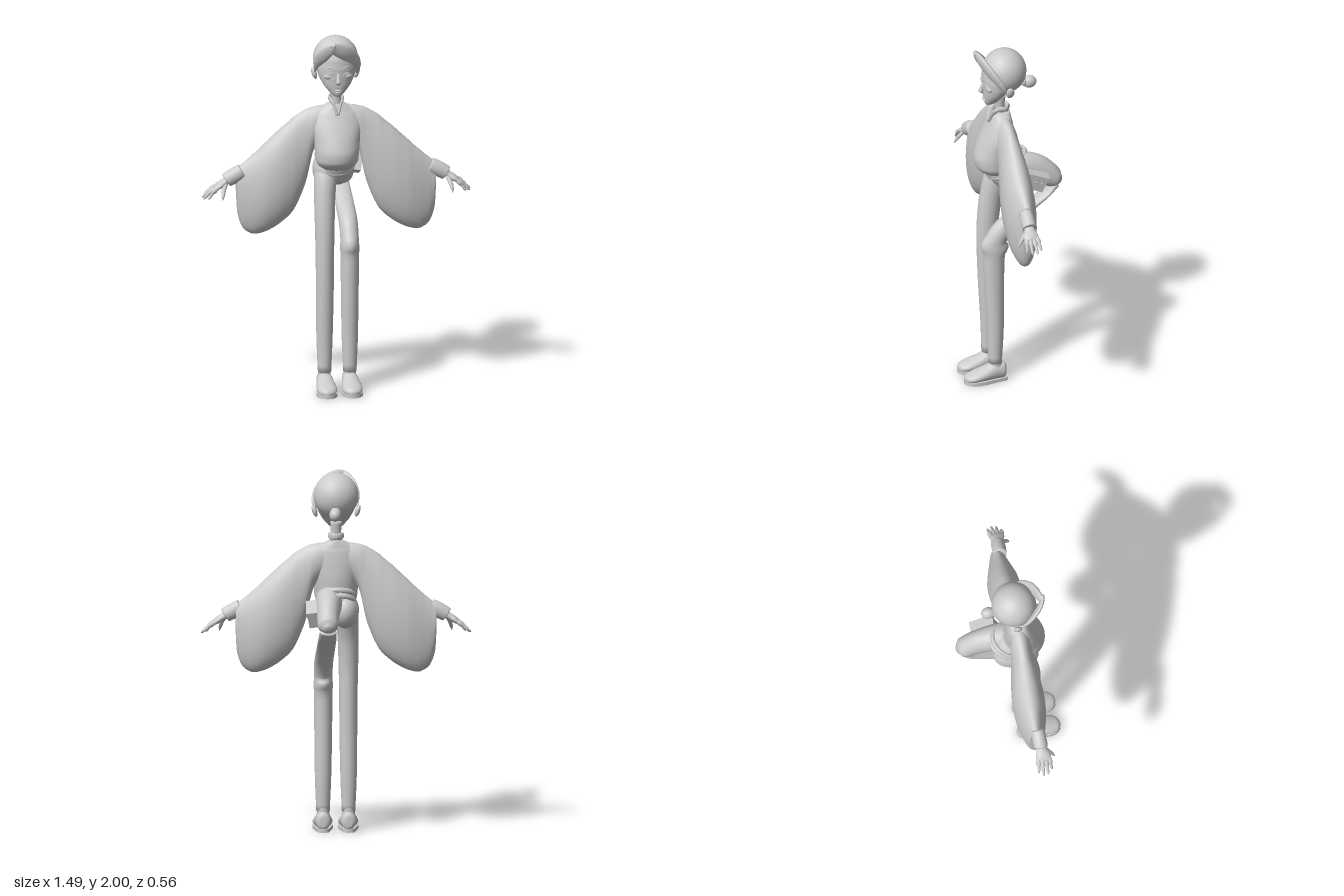
import * as THREE from 'three';

const clay = new THREE.MeshStandardMaterial({ color: 0xcccccc });
clay.name = 'light grey clay';

const X = new THREE.Vector3(1, 0, 0), Y = new THREE.Vector3(0, 1, 0), Z = new THREE.Vector3(0, 0, 1);

// Smooth closed loft through elliptical sections [x, y, z, a, b]; a lies along u, b along v.
// Without v the sections turn with the path.
function sweep(sections, u, v = null, steps = 5, sides = 24) {
  const path = new THREE.CatmullRomCurve3(sections.map(s => new THREE.Vector3(s[0], s[1], s[2])));
  const size = new THREE.CatmullRomCurve3(sections.map(s => new THREE.Vector3(s[3], s[4], 0)));
  const rows = (sections.length - 1) * steps, pos = [], idx = [];
  for (let i = 0; i <= rows; i++) {
    const t = i / rows, c = path.getPoint(t), r = size.getPoint(t);
    let a = u, b = v;
    if (!v) {
      const tan = path.getTangent(t);
      a = u.clone().addScaledVector(tan, -u.dot(tan)).normalize();
      b = tan.clone().cross(a);
    }
    for (let k = 0; k < sides; k++) {
      const w = k / sides * Math.PI * 2;
      const p = c.clone().addScaledVector(a, r.x * Math.cos(w)).addScaledVector(b, r.y * Math.sin(w));
      pos.push(p.x, p.y, p.z);
      if (i < rows) {
        const p0 = i * sides + k, p1 = i * sides + (k + 1) % sides;
        idx.push(p0, p1, p1 + sides, p0, p1 + sides, p0 + sides);
      }
    }
  }
  // end caps
  const n = pos.length / 3, last = rows * sides;
  pos.push(...path.getPoint(0).toArray(), ...path.getPoint(1).toArray());
  for (let k = 0; k < sides; k++) {
    const k1 = (k + 1) % sides;
    idx.push(n, k1, k, n + 1, last + k, last + k1);
  }
  // turn the faces outward if the enclosed volume is negative
  const P = i => new THREE.Vector3(pos[i * 3], pos[i * 3 + 1], pos[i * 3 + 2]);
  const origin = P(n);
  let volume = 0;
  for (let i = 0; i < idx.length; i += 3) {
    const [p, q, r] = [P(idx[i]).sub(origin), P(idx[i + 1]).sub(origin), P(idx[i + 2]).sub(origin)];
    volume += p.dot(q.cross(r));
  }
  if (volume < 0) idx.reverse();
  const g = new THREE.BufferGeometry();
  g.setAttribute('position', new THREE.Float32BufferAttribute(pos, 3));
  g.setIndex(idx);
  g.computeVertexNormals();
  return g;
}

export function createModel() {
  const model = new THREE.Group();
  model.name = 'standingFigure';
  const add = (name, geometry, x = 0, y = 0, z = 0, parent = model) => {
    const m = new THREE.Mesh(geometry, clay);
    m.name = name;
    m.position.set(x, y, z);
    parent.add(m);
    return m;
  };
  const ball = (name, x, y, z, rx, ry, rz) =>
    add(name, new THREE.SphereGeometry(1, 28, 20).scale(rx, ry, rz), x, y, z);
  // level sections given as [y, half width, front z, back z]
  const stack = (name, list) => add(name,
    sweep(list.map(([y, h, f, b]) => [0, y, (f + b) / 2, h, (f - b) / 2]), X, Z, 5, 36));

  // Jacket body, collar and neck
  stack('jacketBody', [[1.625, .042, .092, -.002], [1.605, .08, .1, -.005], [1.57, .125, .115, -.012],
    [1.5, .14, .148, -.02], [1.42, .128, .182, -.025], [1.36, .122, .2, -.022], [1.31, .117, .195, -.015],
    [1.28, .1, .172, 0], [1.26, .07, .14, .02]]);
  stack('neck', [[1.56, .03, .085, .02], [1.65, .028, .08, .028], [1.73, .032, .09, .02]]);
  for (const s of [1, -1]) {
    add('collar', sweep([[s * .003, 1.57, .118, .007, .012], [s * .018, 1.62, .1, .007, .014],
      [s * .034, 1.65, .07, .007, .014], [s * .034, 1.65, .025, .007, .016], [0, 1.648, .003, .007, .016]],
      X, null, 5, 12));
  }

  // Head and face
  stack('face', [[1.68, .016, .135, .1], [1.695, .036, .142, .07], [1.74, .074, .148, .03],
    [1.79, .1, .152, -.02], [1.84, .112, .154, -.05], [1.89, .112, .15, -.06], [1.95, .08, .11, -.03]]);
  add('nose', sweep([[0, 1.815, .148, .008, .008], [0, 1.785, .157, .011, .012],
    [0, 1.765, .164, .014, .012], [0, 1.752, .152, .008, .006]], X, Z, 4, 14));
  ball('upperLip', 0, 1.716, .143, .02, .006, .009);
  ball('lowerLip', 0, 1.706, .141, .016, .006, .009);
  for (const s of [1, -1]) {
    ball('eye', s * .048, 1.797, .126, .031, .021, .019);
    add('eyelid', sweep([[s * .018, 1.8, .146, .003, .004], [s * .048, 1.817, .146, .004, .006],
      [s * .08, 1.802, .122, .003, .004]], Y, null, 5, 8));
    add('eyebrow', sweep([[s * .02, 1.838, .152, .003, .003], [s * .05, 1.85, .141, .005, .004],
      [s * .085, 1.84, .11, .002, .003]], Y, null, 5, 8));
    const ear = ball('ear', s * .118, 1.79, .028, .014, .034, .024);
    ear.rotation.z = -s * .3;
  }

  // Hair: cap, bun, two swept fringe locks and sideburns
  ball('hairCap', 0, 1.874, .028, .124, .126, .122);
  ball('bun', .008, 1.788, -.113, .032, .036, .04);
  add('bunTie', new THREE.TorusGeometry(.02, .01, 10, 20), .006, 1.795, -.08);
  add('leftFringe', sweep([[-.05, 1.985, .186, .008, .008], [-.02, 1.965, .172, .035, .014],
    [.035, 1.935, .15, .043, .018], [.085, 1.885, .112, .04, .018], [.112, 1.835, .075, .026, .014],
    [.117, 1.785, .045, .004, .004]], new THREE.Vector3(.6, .8, 0)));
  add('rightFringe', sweep([[-.02, 1.99, .188, .008, .008], [-.05, 1.96, .175, .03, .012],
    [-.085, 1.915, .14, .034, .014], [-.11, 1.865, .095, .024, .012], [-.117, 1.805, .05, .004, .004]],
    new THREE.Vector3(-.6, .8, 0)));

  // Wide hanging sleeves, cuffs and hands: sleeve rows are [x, top y, bottom y, half depth]
  const sleeve = [[.05, 1.615, 1.45, .05], [.12, 1.605, 1.37, .058], [.17, 1.59, 1.17, .066],
    [.24, 1.545, 1.015, .08], [.31, 1.485, .95, .089], [.39, 1.41, .905, .087], [.46, 1.345, .893, .07],
    [.515, 1.298, .93, .052], [.542, 1.275, 1.0, .042], [.55, 1.262, 1.1, .036]];
  for (const s of [1, -1]) {
    add('sleeve', sweep(sleeve.map(([x, t, b, d]) => [s * x, (t + b) / 2, .045, (t - b) / 2, d]), Y, Z, 5, 36));
    add('cuff', sweep([[s * .52, 1.255, .057, .042, .036], [s * .56, 1.234, .058, .044, .039],
      [s * .607, 1.208, .06, .04, .038], [s * .61, 1.206, .06, .025, .028]], Y));
    add('palm', sweep([[s * .585, 1.22, .06, .022, .026], [s * .62, 1.198, .062, .02, .03],
      [s * .652, 1.178, .064, .018, .042], [s * .675, 1.162, .064, .012, .04]], Y));
    const tips = [[.026, .728, 1.123], [.05, .742, 1.112], [.076, .738, 1.108], [.1, .715, 1.112]];
    tips.forEach(([z, x, y], i) => {
      const z0 = .034 + i * .02;
      add('finger', sweep([[s * .655, 1.177, z0, .009, .009], [s * (.665 + x) / 2, (1.178 + y) / 2, (z0 + z) / 2, .009, .009],
        [s * (x - .008), y + .006, z, .007, .007], [s * x, y, z, .002, .002]], Y, null, 4, 10));
    });
    add('thumb', sweep([[s * .61, 1.195, .075, .012, .012], [s * .626, 1.163, .1, .012, .011],
      [s * .634, 1.132, .12, .009, .008], [s * .638, 1.112, .13, .002, .002]], X, null, 4, 10));
  }

  // Hips pushed back from the waist
  add('waist', sweep([[0, 1.34, .055, .1, .09], [0, 1.29, .035, .103, .11], [-.005, 1.24, .02, .108, .1],
    [-.015, 1.19, .02, .095, .07], [-.02, 1.16, .02, .05, .03]], X));
  add('leftHip', sweep([[.035, 1.29, .06, .075, .07], [.04, 1.29, -.04, .075, .085],
    [.045, 1.265, -.13, .066, .085], [.05, 1.225, -.2, .06, .072], [.05, 1.19, -.25, .054, .052],
    [.05, 1.175, -.278, .02, .02]], X));
  ball('rightHip', -.05, 1.24, .01, .075, .1, .105);
  for (const [i, y] of [1.315, 1.285].entries()) {
    const belt = add(i ? 'lowerBelt' : 'upperBelt',
      new THREE.TorusGeometry(1, .085, 10, 48).rotateX(Math.PI / 2).scale(.105, .16, .122), 0, y, .022 - i * .012);
    belt.rotation.x = .45;
  }

  // Right leg goes straight up; left leg thins and bends back to the hip
  const shin = s => [[s * .07, .11, .1, .037, .037], [s * .07, .3, .098, .045, .045],
    [s * .069, .55, .104, .049, .053], [s * .069, .78, .105, .051, .06]];
  add('rightLeg', sweep([...shin(-1), [-.069, .92, .102, .054, .061], [-.067, 1.08, .083, .058, .064],
    [-.06, 1.2, .05, .062, .072], [-.055, 1.27, .01, .05, .06]], X));
  add('leftLeg', sweep([...shin(1), [.069, .87, .093, .051, .06], [.068, .945, .04, .052, .054],
    [.064, 1.0, -.035, .052, .038], [.058, 1.06, -.12, .051, .024], [.053, 1.115, -.2, .05, .02],
    [.05, 1.165, -.245, .045, .028]], X));

  // Shoes with soles
  for (const s of [1, -1]) {
    add('shoe', sweep([[s * .07, .058, .04, .02, .03], [s * .07, .06, .052, .038, .05], [s * .07, .06, .1, .043, .053],
      [s * .07, .048, .16, .052, .041], [s * .07, .036, .22, .055, .03], [s * .07, .029, .258, .04, .022],
      [s * .07, .026, .274, .012, .01]], X, Y));
    const sole = new THREE.Shape();
    sole.moveTo(-.032, -.05);
    sole.bezierCurveTo(-.03, -.025, .03, -.025, .032, -.05);
    sole.bezierCurveTo(.04, -.12, .06, -.16, .056, -.22);
    sole.bezierCurveTo(.045, -.295, -.045, -.295, -.056, -.22);
    sole.bezierCurveTo(-.06, -.16, -.04, -.12, -.032, -.05);
    add('sole', new THREE.ExtrudeGeometry(sole, { depth: .02, bevelEnabled: false }).rotateX(-Math.PI / 2), s * .07, 0, 0);
    add('ankle', new THREE.CylinderGeometry(.033, .035, .05, 24), s * .07, .115, .095);
  }

  // Belt pouch with flap and studs
  const pouch = new THREE.Group();
  pouch.name = 'beltPouch';
  pouch.position.set(.132, 1.237, -.108);
  pouch.rotation.set(-.38, 0, -.15);
  model.add(pouch);
  add('pouchBody', new THREE.BoxGeometry(.05, .075, .125), 0, -.012, 0, pouch);
  add('pouchFlap', new THREE.BoxGeometry(.06, .025, .14), 0, .035, 0, pouch);
  for (let i = -1; i <= 1; i++) {
    add('stud', new THREE.SphereGeometry(.006, 10, 8), .026, .005, i * .035, pouch);
  }
  return model;
}
